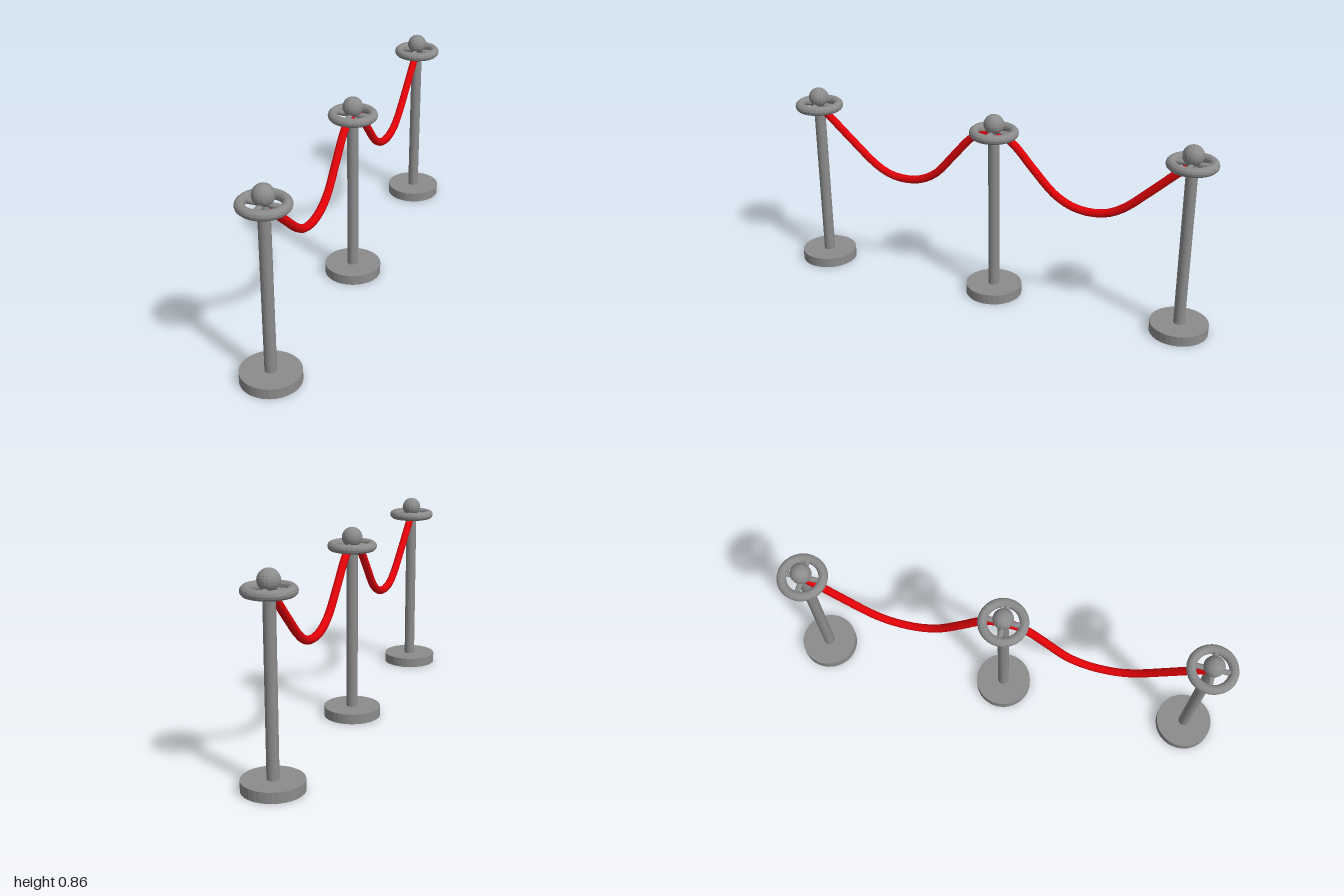
import * as THREE from 'three';

const metal = new THREE.MeshStandardMaterial({ color: 0x8b8b8b, flatShading: true });
const red = new THREE.MeshStandardMaterial({ color: 0xe20308 });

function addPart(parent, name, geometry, material, y = 0) {
  const mesh = new THREE.Mesh(geometry, material);
  mesh.name = name;
  mesh.position.y = y;
  parent.add(mesh);
  return mesh;
}

// One stanchion: round foot, pole, spoked ring and ball finial
function createPost(z) {
  const post = new THREE.Group();
  post.name = 'post';
  post.position.z = z;
  addPart(post, 'base', new THREE.CylinderGeometry(0.127, 0.127, 0.045, 32), metal, 0.0225);
  addPart(post, 'pole', new THREE.CylinderGeometry(0.025, 0.025, 0.75, 24), metal, 0.415);
  addPart(post, 'ball', new THREE.SphereGeometry(0.045, 16, 12), metal, 0.819);
  const ring = new THREE.TorusGeometry(0.088, 0.0205, 12, 32).rotateX(Math.PI / 2);
  addPart(post, 'ring', ring, metal, 0.781);
  // Two crossing bars make the four spokes
  for (const angle of [0, Math.PI / 2]) {
    const bar = new THREE.CylinderGeometry(0.012, 0.012, 0.17, 10).rotateZ(Math.PI / 2).rotateY(angle);
    addPart(post, 'spokes', bar, metal, 0.783);
  }
  return post;
}

// Rope sagging between two posts, given as [z, y] points
function createRope(points) {
  const path = new THREE.CatmullRomCurve3(points.map(([z, y]) => new THREE.Vector3(0, y, z)));
  const rope = new THREE.Group();
  rope.name = 'rope';
  addPart(rope, 'cord', new THREE.TubeGeometry(path, 32, 0.018, 10), red);
  // Close both ends
  for (const [z, y] of [points[0], points[points.length - 1]]) {
    addPart(rope, 'ropeEnd', new THREE.SphereGeometry(0.018, 12, 8), red, y).position.z = z;
  }
  return rope;
}

export function createModel() {
  const model = new THREE.Group();
  model.name = 'ropeBarrier';
  for (const z of [0.873, -0.004, -0.873]) model.add(createPost(z));
  model.add(createRope([
    [0.865, 0.77], [0.82, 0.733], [0.7, 0.627], [0.59, 0.535], [0.52, 0.498], [0.44, 0.486],
    [0.36, 0.498], [0.28, 0.542], [0.19, 0.643], [0.1, 0.743], [0.055, 0.77], [0.01, 0.775],
  ]));
  model.add(createRope([
    [-0.01, 0.775], [-0.055, 0.768], [-0.1, 0.738], [-0.19, 0.64], [-0.29, 0.54], [-0.37, 0.498],
    [-0.45, 0.486], [-0.53, 0.498], [-0.6, 0.535], [-0.71, 0.632], [-0.82, 0.735], [-0.865, 0.772],
  ]));
  return model;
}
